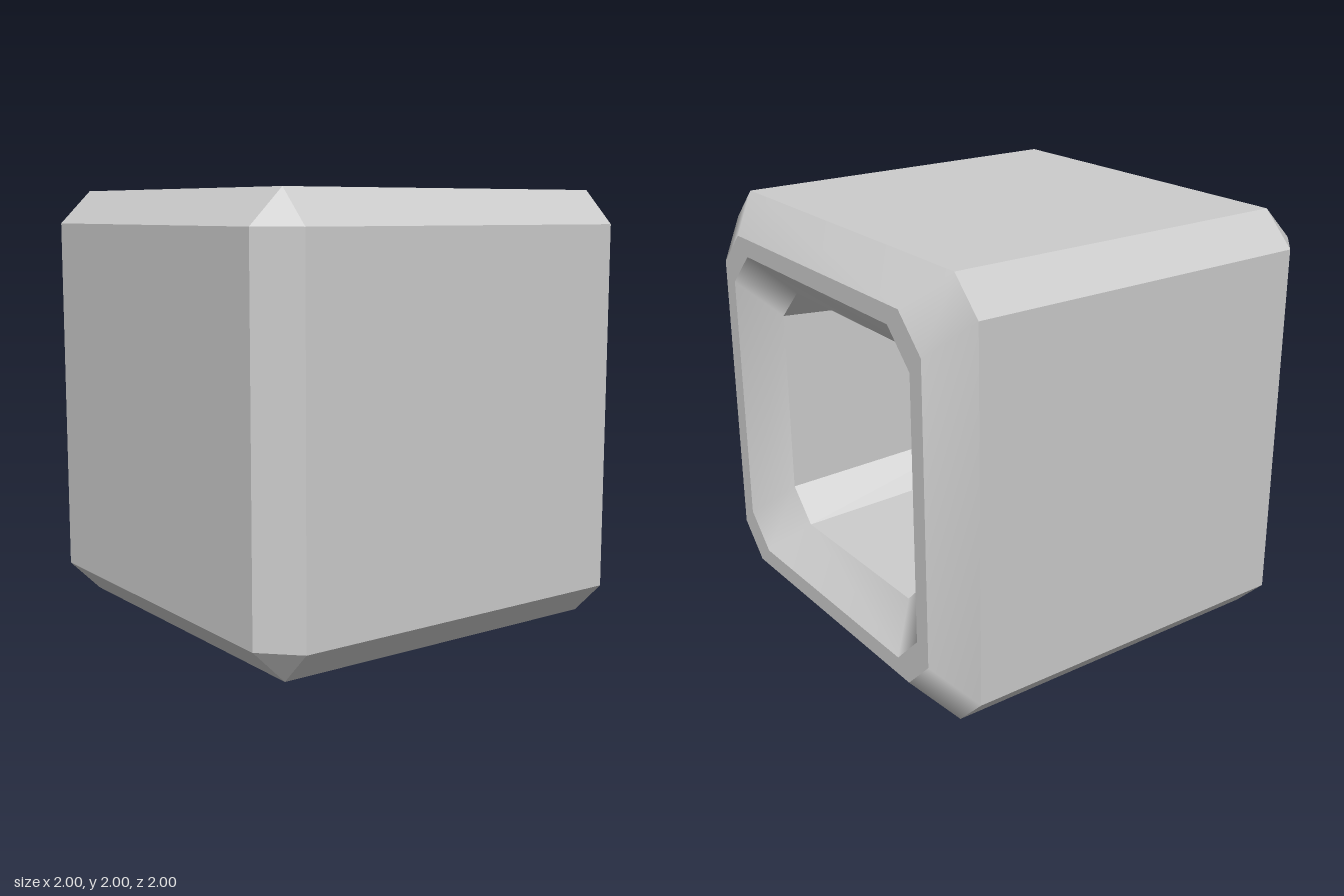
import * as THREE from 'three';
import { ConvexGeometry } from 'three/addons/geometries/ConvexGeometry.js';

// Eight-cornered ring in the yz plane; corner === half gives a square
function ring([x, half, corner]) {
  const h = half, c = corner;
  return [[h, -c], [h, c], [c, h], [-c, h], [-h, c], [-h, -c], [-c, -h], [c, -h]]
    .map(([y, z]) => new THREE.Vector3(x, y + 1, z));
}

// Strip of faces joining two rings, leaving out empty triangles
function band(a, b, smooth) {
  const A = ring(a), B = ring(b), points = [...A, ...B], index = [];
  const add = (i, j, k) => {
    const area = new THREE.Triangle(points[i], points[j], points[k]).getArea();
    if (area > 1e-6) index.push(i, j, k);
  };
  for (let i = 0; i < 8; i++) {
    const n = (i + 1) % 8;
    add(i, n, 8 + i);
    add(n, 8 + n, 8 + i);
  }
  let geometry = new THREE.BufferGeometry().setFromPoints(points);
  geometry.setIndex(index);
  if (!smooth) geometry = geometry.toNonIndexed();
  geometry.computeVertexNormals();
  return geometry;
}

export function createModel() {
  const model = new THREE.Group();
  const grey = new THREE.MeshStandardMaterial({ color: 0xcccccc });
  const flatGrey = new THREE.MeshStandardMaterial({ color: 0xcccccc, flatShading: true });

  // Hollow cube: rings [x, half size, corner start] from the outer back, round the rim, into the cavity
  const profile = [
    [-1, 0, 0],
    [-1, 0.845, 0.845],
    [-0.845, 1, 0.845],
    [0.845, 1, 0.845],
    [1, 0.84, 0.685],
    [1, 0.757, 0.602],
    [0.84, 0.595, 0.445],
    [-0.44, 0.515, 0.365],
    [-0.6, 0.355, 0.355],
    [-0.6, 0, 0],
  ];
  const names = ['closedSide', 'closedSideBevel', 'outerWalls', 'openSideBevel', 'rim',
    'openingFunnel', 'cavityWalls', 'cavityBevel', 'cavityEnd'];
  const smoothBands = ['openSideBevel', 'openingFunnel'];
  const cube = new THREE.Group();
  cube.name = 'hollowCube';
  names.forEach((name, i) => {
    const smooth = smoothBands.includes(name);
    const mesh = new THREE.Mesh(band(profile[i], profile[i + 1], smooth), smooth ? grey : flatGrey);
    mesh.name = name;
    cube.add(mesh);
  });
  model.add(cube);

  // Floating octahedron with bevelled edges and blunt tips
  const tip = 0.285, blunt = 0.021, corners = [];
  for (const s of [-1, 1]) for (const u of [-blunt, blunt]) for (const v of [-blunt, blunt]) {
    corners.push(
      new THREE.Vector3(s * tip, u, v),
      new THREE.Vector3(u, s * tip, v),
      new THREE.Vector3(u, v, s * tip),
    );
  }
  const crystal = new THREE.Mesh(new ConvexGeometry(corners), flatGrey);
  crystal.name = 'floatingCrystal';
  crystal.position.set(0.16, 0.965, 0);
  model.add(crystal);

  return model;
}
